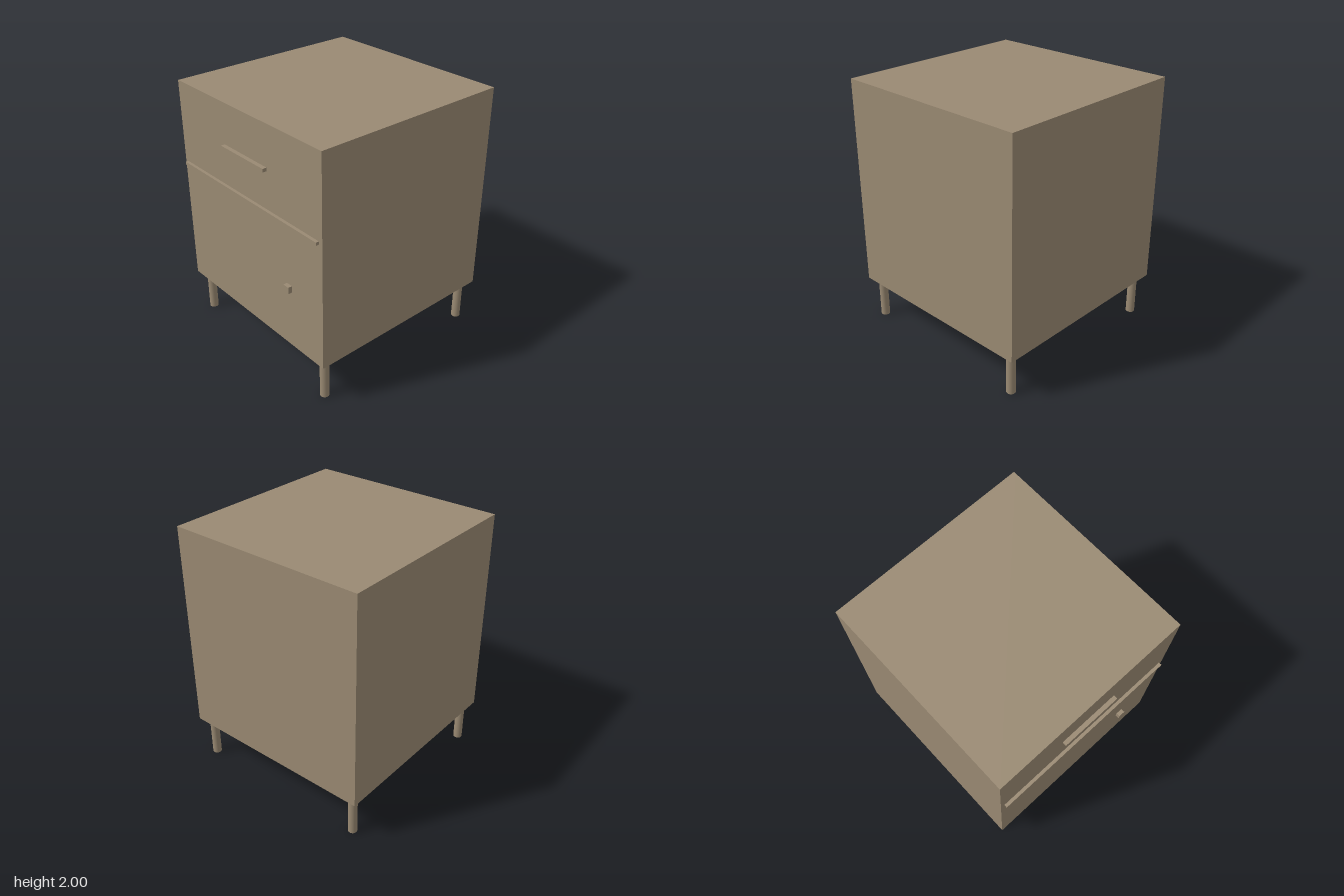
import * as THREE from 'three';

export function createModel() {
  const model = new THREE.Group();
  model.name = 'bedsideCabinet';
  const wood = new THREE.MeshStandardMaterial({ color: 0x9a8a73 });
  wood.name = 'wood';

  // Box given by its lower and upper corners
  const box = (name, [x0, y0, z0], [x1, y1, z1]) => {
    const mesh = new THREE.Mesh(new THREE.BoxGeometry(x1 - x0, y1 - y0, z1 - z0), wood);
    mesh.name = name;
    mesh.position.set((x0 + x1) / 2, (y0 + y1) / 2, (z0 + z1) / 2);
    model.add(mesh);
  };

  const bottom = 0.337, front = 0.783, back = -0.815;

  // Cabinet body with a thin flush back panel
  box('body', [-0.799, bottom, back + 0.015], [0.799, 2, front]);
  box('backPanel', [-0.799, bottom, back], [0.799, 2, back + 0.015]);

  // Drawer handle, divider rail and door knob on the front
  box('drawerHandle', [-0.24, 1.657, front], [0.24, 1.683, 0.815]);
  box('dividerRail', [-0.766, 1.339, front], [0.766, 1.362, 0.807]);
  box('doorKnob', [0.42, 0.809, front], [0.473, 0.862, 0.815]);

  // Four round legs
  const legGeometry = new THREE.CylinderGeometry(0.035, 0.035, bottom, 24);
  for (const [side, x] of [['Left', 0.719], ['Right', -0.719]]) {
    for (const [end, z] of [['front', 0.703], ['back', -0.733]]) {
      const leg = new THREE.Mesh(legGeometry, wood);
      leg.name = `${end}${side}Leg`;
      leg.position.set(x, bottom / 2, z);
      model.add(leg);
    }
  }
  return model;
}
